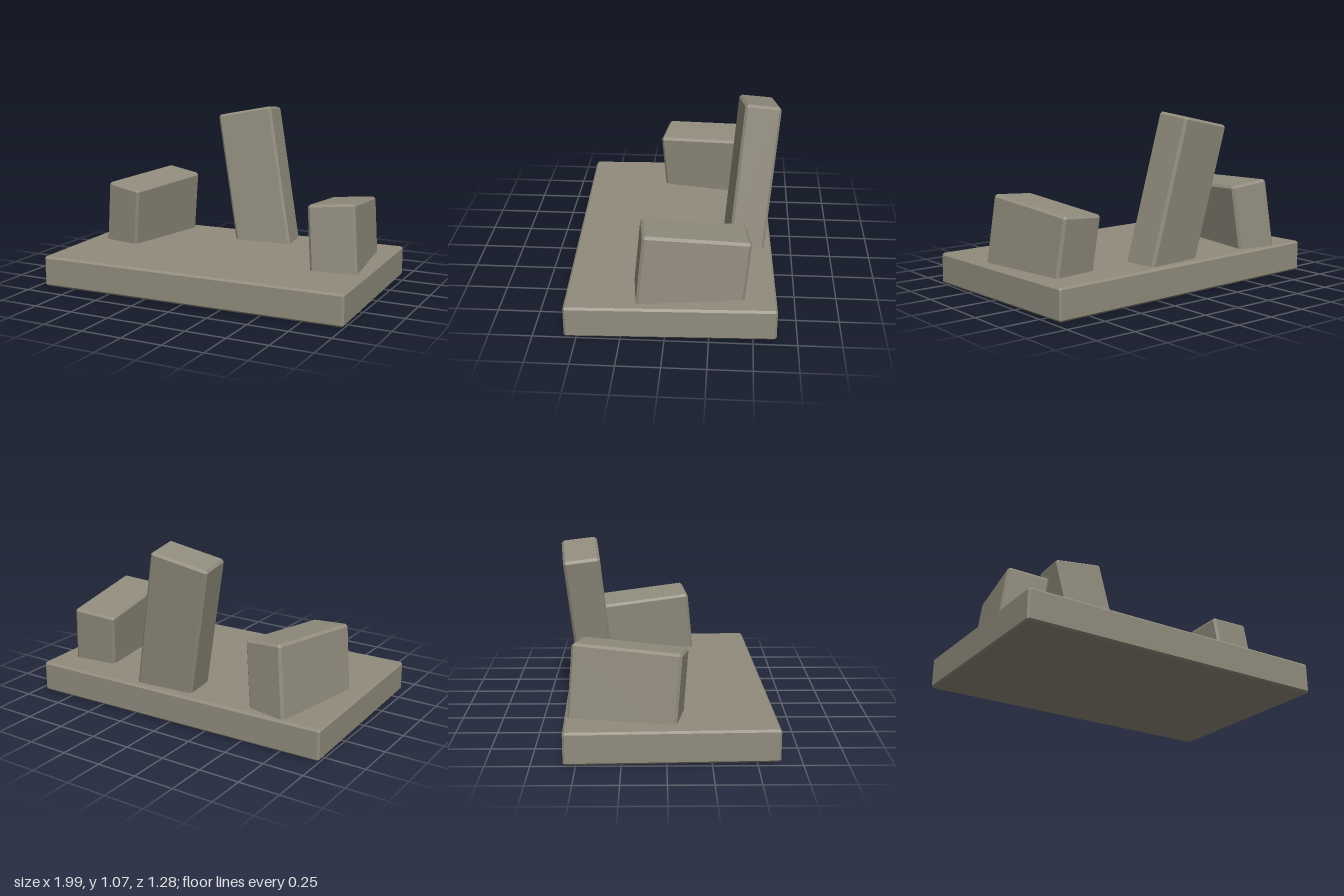
import * as THREE from 'three';
import { ConvexGeometry } from 'three/addons/geometries/ConvexGeometry.js';

// Box with every edge and corner chamfered by c
function chamferedBox(w, h, d, c) {
  const points = [];
  for (const x of [-1, 1]) for (const y of [-1, 1]) for (const z of [-1, 1]) {
    for (let axis = 0; axis < 3; axis++) {
      const inset = [0, 1, 2].map((i) => (i === axis ? 0 : c));
      points.push(new THREE.Vector3(
        x * (w / 2 - inset[0]), y * (h / 2 - inset[1]), z * (d / 2 - inset[2])));
    }
  }
  return new ConvexGeometry(points);
}

export function createModel() {
  const model = new THREE.Group();
  model.name = 'stoneMonument';
  const stone = new THREE.MeshStandardMaterial({ color: 0x918c7d });
  stone.name = 'weathered stone';

  // Base slab, turned slightly
  const slab = new THREE.Mesh(chamferedBox(1.957, 0.19, 1.205, 0.012), stone);
  slab.name = 'baseSlab';
  slab.position.y = 0.095;
  slab.rotation.y = 0.032;
  model.add(slab);

  // Leaning block from its centre at slab level to its top centre, sunk into the slab
  function leaningBlock(name, foot, top, yawDegrees, w, d) {
    const start = new THREE.Vector3(...foot);
    const end = new THREE.Vector3(...top);
    const up = end.clone().sub(start).normalize();
    start.addScaledVector(up, -0.1);
    const yaw = THREE.MathUtils.degToRad(yawDegrees);
    const side = new THREE.Vector3(Math.cos(yaw), 0, -Math.sin(yaw));
    side.addScaledVector(up, -side.dot(up)).normalize();
    const front = side.clone().cross(up);

    const mesh = new THREE.Mesh(chamferedBox(w, start.distanceTo(end), d, 0.015), stone);
    mesh.name = name;
    mesh.quaternion.setFromRotationMatrix(new THREE.Matrix4().makeBasis(side, up, front));
    mesh.position.copy(start).lerp(end, 0.5);
    model.add(mesh);
  }

  leaningBlock('tallBackStone', [0.08, 0.19, -0.44], [-0.095, 1.03, -0.517], 5, 0.37, 0.22);
  leaningBlock('rightStone', [-0.69, 0.19, -0.23], [-0.646, 0.585, -0.2], -10.5, 0.26, 0.63);
  leaningBlock('leftStone', [0.745, 0.19, -0.125], [0.71, 0.555, -0.16], 7, 0.285, 0.615);

  return model;
}
